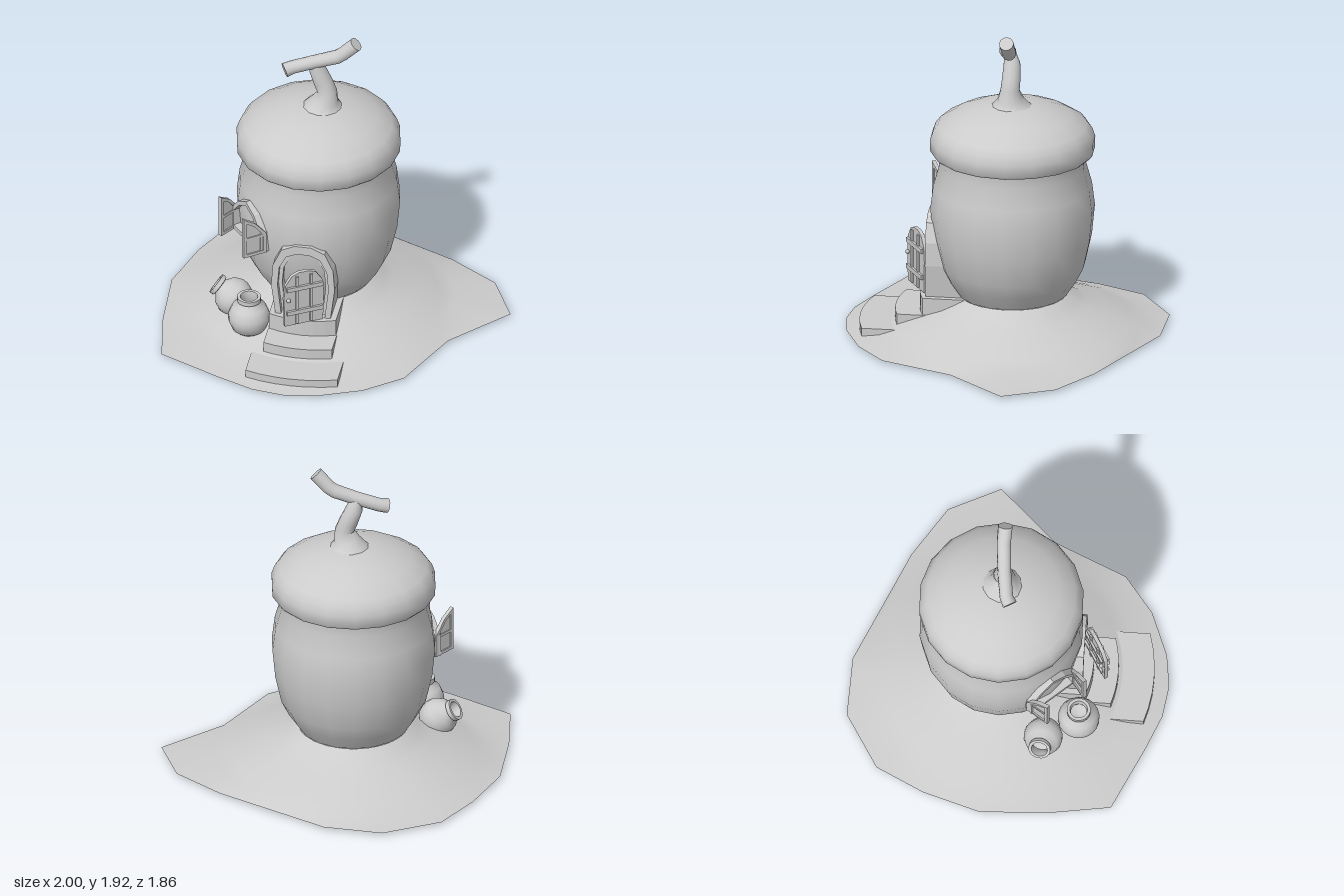
import * as THREE from 'three';
import { toCreasedNormals } from 'three/addons/utils/BufferGeometryUtils.js';

const grey = new THREE.MeshStandardMaterial({ color: 0xcccccc });
const greyDouble = new THREE.MeshStandardMaterial({ color: 0xcccccc, side: THREE.DoubleSide });
const rad = THREE.MathUtils.degToRad;
const HX = -0.11, HZ = -0.06; // axis of the house

function add(parent, name, geo, pos = [0, 0, 0], mat = grey) {
  const m = new THREE.Mesh(geo, mat);
  m.name = name;
  m.position.set(...pos);
  parent.add(m);
  return m;
}
function group(parent, name, pos, yaw = 0) {
  const g = new THREE.Group();
  g.name = name;
  g.position.set(...pos);
  g.rotation.y = rad(yaw);
  parent.add(g);
  return g;
}
const vecs = pts => pts.map(p => new THREE.Vector2(...p));
const lathe = (pts, sides, crease = 50) => toCreasedNormals(new THREE.LatheGeometry(vecs(pts), sides), rad(crease));

// Flat plate with an optional opening
function plate(outline, depth, hole) {
  const s = new THREE.Shape(vecs(outline));
  if (hole) s.holes.push(new THREE.Path(vecs(hole)));
  return new THREE.ExtrudeGeometry(s, { depth, bevelEnabled: false });
}
// Mirror the right half of an arch (bottom to top) into a full outline
const arch = half => [...half, ...half.slice().reverse().filter(p => p[0] > 0).map(([x, y]) => [-x, y])];

// Loft of rings around a path in rows, normals creased
function rings(rows, closed) {
  const n = rows[0].length, pos = rows.flat(2), idx = [];
  for (let i = 0; i < rows.length - 1; i++) for (let j = 0; j < n; j++) {
    const a = i * n + j, b = i * n + (j + 1) % n;
    idx.push(a, a + n, b, b, a + n, b + n);
  }
  const g = new THREE.BufferGeometry();
  g.setAttribute('position', new THREE.Float32BufferAttribute(pos, 3));
  g.setIndex(idx);
  if (closed) return toCreasedNormals(g, rad(50));
  g.computeVertexNormals();
  return g;
}

// Bent branch with closed ends; each point is x, y, z, radius
function limb(points, sides = 12) {
  const P = points.map(p => new THREE.Vector3(...p)), Z = new THREE.Vector3(0, 0, 1), rows = [];
  P.forEach((p, i) => {
    const t = P[Math.min(i + 1, P.length - 1)].clone().sub(P[Math.max(i - 1, 0)]).normalize();
    const u = t.clone().cross(Z).normalize(), v = u.clone().cross(t);
    const ring = r => Array.from({ length: sides }, (_, j) => {
      const a = j / sides * Math.PI * 2;
      return p.clone().addScaledVector(u, r * Math.cos(a)).addScaledVector(v, r * Math.sin(a)).toArray();
    });
    if (i === 0) rows.push(ring(0));
    rows.push(ring(points[i][3]));
    if (i === P.length - 1) rows.push(ring(0));
  });
  return rings(rows, true);
}

// Mound of earth: circular rim around the house down to a ragged outline
function mound() {
  const edge = [[-0.22, -0.93], [0.49, -0.73], [0.81, -0.58], [1, -0.3], [0.74, 0.08], [0.62, 0.53],
    [0.43, 0.73], [0.19, 0.87], [0, 0.925], [-0.19, 0.925], [-0.41, 0.87], [-0.81, 0.75],
    [-0.92, 0.4], [-1, 0], [-0.95, -0.35], [-0.855, -0.65], [-0.57, -0.89]];
  const fine = edge.flatMap((p, i) => {
    const q = edge[(i + 1) % edge.length];
    return [0, 1 / 3, 2 / 3].map(t => [p[0] + (q[0] - p[0]) * t, p[1] + (q[1] - p[1]) * t]);
  });
  const slope = [[0, 0.25], [0.06, 0.21], [0.12, 0.175], [0.23, 0.135], [0.38, 0.075], [0.48, 0.035]];
  const rows = slope.map(([d, y]) => fine.map(([x, z]) => {
    const len = Math.hypot(x - HX, z - HZ), k = (0.325 + Math.min(d, len - 0.35)) / len;
    return [HX + (x - HX) * k, y, HZ + (z - HZ) * k];
  }));
  rows.push(fine.map(([x, z]) => [x, 0.015, z]));
  // outline runs clockwise from above, so reverse it to face up
  return rings(rows.map(r => r.reverse()), false);
}

// Step with a front curved around the house axis
function step(w, back, r, height) {
  const pts = [[-w, -back]];
  const a = Math.asin(w / r);
  for (let i = 0; i <= 6; i++) {
    const t = -a + 2 * a * i / 6;
    pts.push([r * Math.sin(t), -r * Math.cos(t)]);
  }
  pts.push([w, -back]);
  return plate(pts, height).rotateX(-Math.PI / 2);
}

export function createModel() {
  const model = new THREE.Group();
  model.name = 'acornHouse';
  add(model, 'ground', mound(), [0, 0, 0], greyDouble);

  // Nut-shaped walls and the cap roof
  const house = group(model, 'house', [HX, 0, HZ]);
  add(house, 'walls', lathe([[0, 0.25], [0.325, 0.25], [0.385, 0.34], [0.43, 0.43], [0.468, 0.6], [0.485, 0.78],
    [0.468, 0.92], [0.432, 1.05], [0.44, 1.13]], 18), [0, 0, 0]);
  add(house, 'capRoof', lathe([[0.42, 1.14], [0.472, 1.125], [0.485, 1.14], [0.487, 1.21], [0.47, 1.26],
    [0.44, 1.3], [0.35, 1.355], [0.25, 1.395], [0.14, 1.425], [0, 1.432]], 18));

  // Crooked stem with a cross branch
  const stem = group(model, 'stem', [0, 0, 0]);
  add(stem, 'stemTrunk', limb([[-0.075, 1.4, -0.06, 0.15], [-0.075, 1.43, -0.06, 0.11], [-0.067, 1.47, -0.06, 0.078],
    [-0.055, 1.53, -0.06, 0.058], [-0.08, 1.59, -0.06, 0.056], [-0.115, 1.68, -0.055, 0.05], [-0.12, 1.73, -0.045, 0.035]]));
  add(stem, 'stemBranch', limb([[-0.29, 1.685, 0.03, 0.044], [-0.25, 1.698, 0.0, 0.04], [-0.12, 1.74, -0.04, 0.04],
    [0.005, 1.782, -0.07, 0.042], [0.04, 1.808, -0.078, 0.042], [0.115, 1.885, -0.085, 0.043]]));

  // Curved steps and doorway share one heading
  const entrance = group(model, 'entrance', [HX, 0, HZ], 8);
  [[0.275, 0.4, 0.9, 0, 0.072], [0.205, 0.37, 0.69, 0.072, 0.073], [0.2, 0.24, 0.545, 0.145, 0.105]]
    .forEach(([w, back, r, y, h], i) => add(entrance, 'step' + (i + 1), step(w, back, r, h), [0, y, 0]));
  const outer = arch([[0.165, 0], [0.19, 0.2], [0.18, 0.34], [0.13, 0.45], [0.05, 0.488]]);
  const inner = arch([[0.13, 0], [0.152, 0.2], [0.142, 0.325], [0.1, 0.405], [0.04, 0.432]]);
  const jamb = arch([[0.11, 0], [0.13, 0.2], [0.12, 0.31], [0.085, 0.375], [0.035, 0.4]]);
  add(entrance, 'doorFrame', plate(outer, 0.26, inner), [0, 0.25, 0.235]);
  add(entrance, 'doorJamb', plate(inner, 0.2, jamb), [0, 0.25, 0.26]);

  // Open door, hinged on its left side
  const door = group(model, 'door', [0.08, 0.25, 0.415], 39);
  const leaf = arch([[0.12, 0.005], [0.125, 0.2], [0.115, 0.29], [0.075, 0.35], [0.03, 0.368]]);
  add(door, 'doorLeaf', plate(leaf, 0.022), [-0.125, 0, -0.011]);
  for (const face of [-1, 1]) {
    for (const x of [-0.17, -0.08]) add(door, 'doorBatten', new THREE.BoxGeometry(0.018, 0.33, 0.012), [x, 0.18, face * 0.015]);
    for (const y of [0.1, 0.265]) add(door, 'doorStrap', new THREE.BoxGeometry(0.225, 0.028, 0.014), [-0.122, y, face * 0.021]);
    add(door, 'doorKnob', new THREE.SphereGeometry(0.013, 10, 8), [-0.225, 0.19, face * 0.022]);
  }

  // Arched window with two open shutters
  const win = group(model, 'window', [HX, 0.635, HZ], -40);
  const winOuter = arch([[0.165, 0], [0.165, 0.14], [0.09, 0.225], [0, 0.272]]);
  const winInner = arch([[0.14, 0.025], [0.14, 0.13], [0.075, 0.203], [0, 0.243]]);
  add(win, 'windowFrame', plate(winOuter, 0.08, winInner), [0, 0, 0.42]);
  const shutterOutline = [[0, 0], [0.15, 0], [0.15, 0.272], [0.075, 0.225], [0, 0.135]];
  const shutterHole = [[0.02, 0.02], [0.13, 0.02], [0.13, 0.237], [0.083, 0.207], [0.02, 0.128]];
  for (const [x, turn] of [[0.16, -95], [-0.16, -74]]) {
    const shutter = group(win, 'shutter', [x, 0, 0.46], turn);
    add(shutter, 'shutterRim', plate(shutterOutline, 0.024, shutterHole), [0, 0, -0.012]);
    add(shutter, 'shutterPanel', plate(shutterHole, 0.008), [0, 0, -0.004]);
    add(shutter, 'shutterRail', new THREE.BoxGeometry(0.13, 0.018, 0.02), [0.075, 0.125, 0]);
  }

  // Clay pots, one upright and one lying over
  const pot = lathe([[0, -0.118], [0.055, -0.112], [0.1, -0.075], [0.122, -0.02], [0.122, 0.02], [0.1, 0.072],
    [0.06, 0.1], [0.056, 0.108], [0.07, 0.112], [0.07, 0.14], [0.052, 0.14], [0.046, 0.105], [0.06, 0.06], [0, 0.03]], 20);
  add(model, 'uprightPot', pot, [-0.365, 0.198, 0.46], greyDouble);
  const tipped = add(model, 'tippedPot', pot, [-0.52, 0.185, 0.28], greyDouble);
  tipped.scale.setScalar(0.93);
  tipped.rotation.z = rad(57);
  return model;
}
